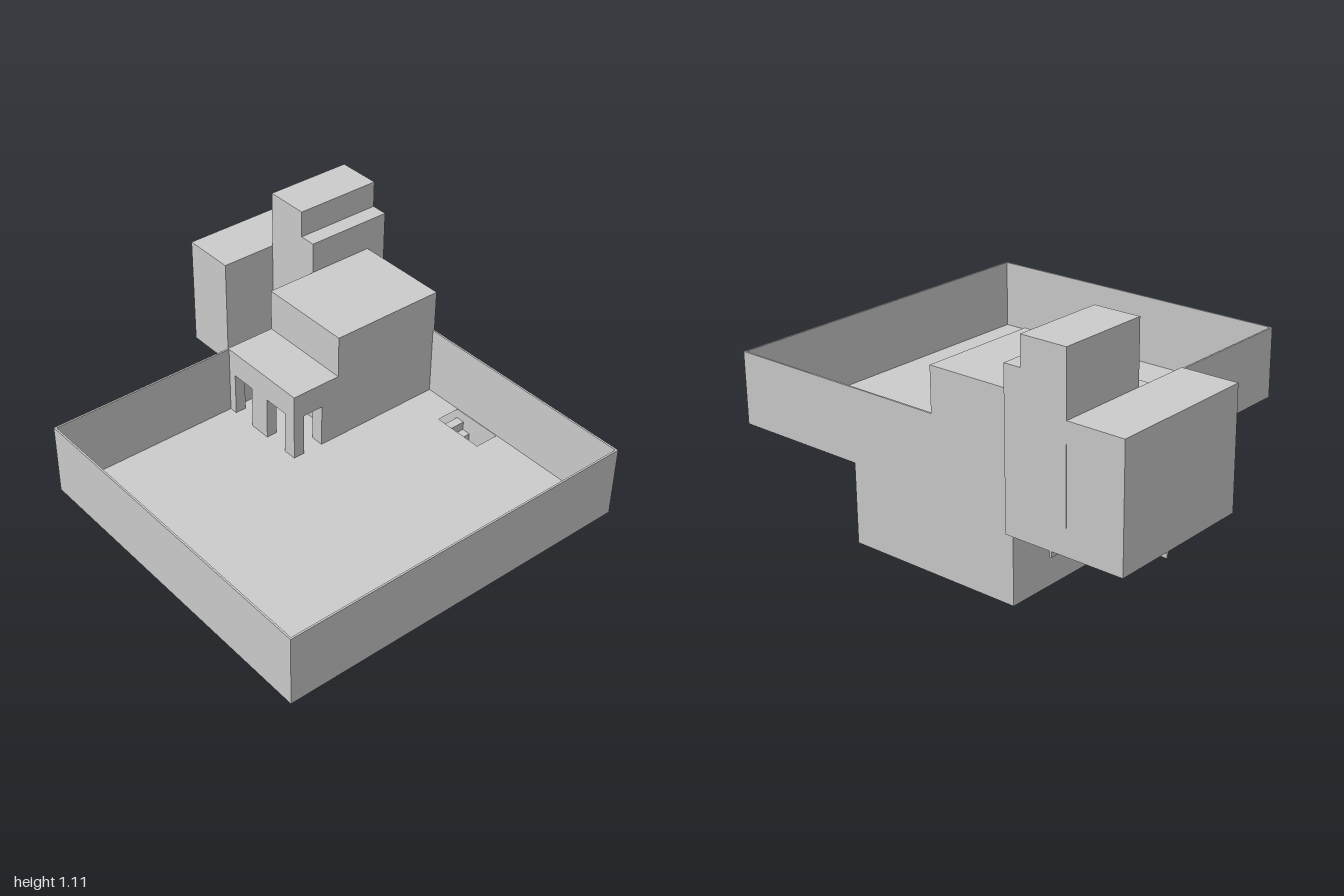
import * as THREE from 'three';

export function createModel() {
  const model = new THREE.Group();
  const mat = new THREE.MeshStandardMaterial({ color: 0xcccccc, flatShading: true });

  // Box given by its minimum and maximum on each axis
  function block(name, [x0, x1], [y0, y1], [z0, z1], parent = model) {
    const mesh = new THREE.Mesh(new THREE.BoxGeometry(x1 - x0, y1 - y0, z1 - z0), mat);
    mesh.position.set((x0 + x1) / 2, (y0 + y1) / 2, (z0 + z1) / 2);
    mesh.name = name;
    parent.add(mesh);
  }

  // Four thin walls around a rectangle
  function enclosure(name, [x0, x1], y, [z0, z1], t) {
    const group = new THREE.Group();
    group.name = name;
    block('leftWall', [x1 - t, x1], y, [z0, z1], group);
    block('rightWall', [x0, x0 + t], y, [z0, z1], group);
    block('frontWall', [x0 + t, x1 - t], y, [z1 - t, z1], group);
    block('backWall', [x0 + t, x1 - t], y, [z0, z0 + t], group);
    model.add(group);
  }

  const ground = 0.345, roof = 0.66;

  // Walled courtyard
  enclosure('courtyardWalls', [-0.48, 1], [ground, roof], [-0.76, 0.85], 0.008);

  // Courtyard floor with the stairwell opening
  const rect = (P, x0, x1, z0, z1) =>
    new P([[x0, z0], [x1, z0], [x1, z1], [x0, z1]].map(([x, z]) => new THREE.Vector2(x, -z)));
  const slab = rect(THREE.Shape, -0.479, 0.999, -0.759, 0.849);
  slab.holes.push(rect(THREE.Path, 0.14, 0.375, -0.75, -0.64));
  const floor = new THREE.Mesh(
    new THREE.ExtrudeGeometry(slab, { depth: 0.005, bevelEnabled: false }).rotateX(-Math.PI / 2), mat);
  floor.position.y = ground;
  floor.name = 'courtyardFloor';
  model.add(floor);

  // Hollow basement and the steps leading down into it
  enclosure('basementWalls', [-0.43, 0.38], [0, ground], [-0.758, -0.23], 0.006);
  block('basementFloor', [-0.424, 0.374], [0, 0.006], [-0.752, -0.236]);
  for (let i = 0; i < 3; i++) {
    const top = ground - 0.04 * (i + 1);
    block('basementStep', [0.14 + 0.04 * i, 0.18 + 0.04 * i], [top - 0.04, top], [-0.75, -0.64]);
  }

  // House against the back wall
  block('house', [-0.48, -0.04], [ground, 0.85], [-0.76, -0.23]);

  // Porch: roof slab carried on posts
  block('porchRoof', [-0.48, -0.04], [0.545, roof], [-0.23, 0]);
  for (const x of [[-0.48, -0.435], [-0.32, -0.22], [-0.1, -0.04]])
    block('porchPost', x, [ground, 0.545], [-0.05, 0]);
  block('porchRearPost', [-0.1, -0.04], [ground, 0.545], [-0.23, -0.145]);

  // Stepped tower and side wing
  block('towerHigh', [-0.755, -0.555], [ground, 1.11], [-0.855, -0.455]);
  block('towerLow', [-0.555, -0.48], [ground, 0.99], [-0.855, -0.455]);
  block('sideWing', [-1, -0.756], [ground, 0.85], [-0.855, -0.2]);

  // Zigzag strip hanging below the tower and wing
  const path = [[-0.685, -0.85], [-0.685, -0.73], [-0.87, -0.73], [-0.87, -0.6], [-0.995, -0.6]];
  const h = 0.004;
  for (let i = 1; i < path.length; i++) {
    const [[ax, az], [bx, bz]] = [path[i - 1], path[i]];
    block('undersideStrip', [Math.min(ax, bx) - h, Math.max(ax, bx) + h], [0.32, ground],
      [Math.min(az, bz) - h, Math.max(az, bz) + h]);
  }
  return model;
}
